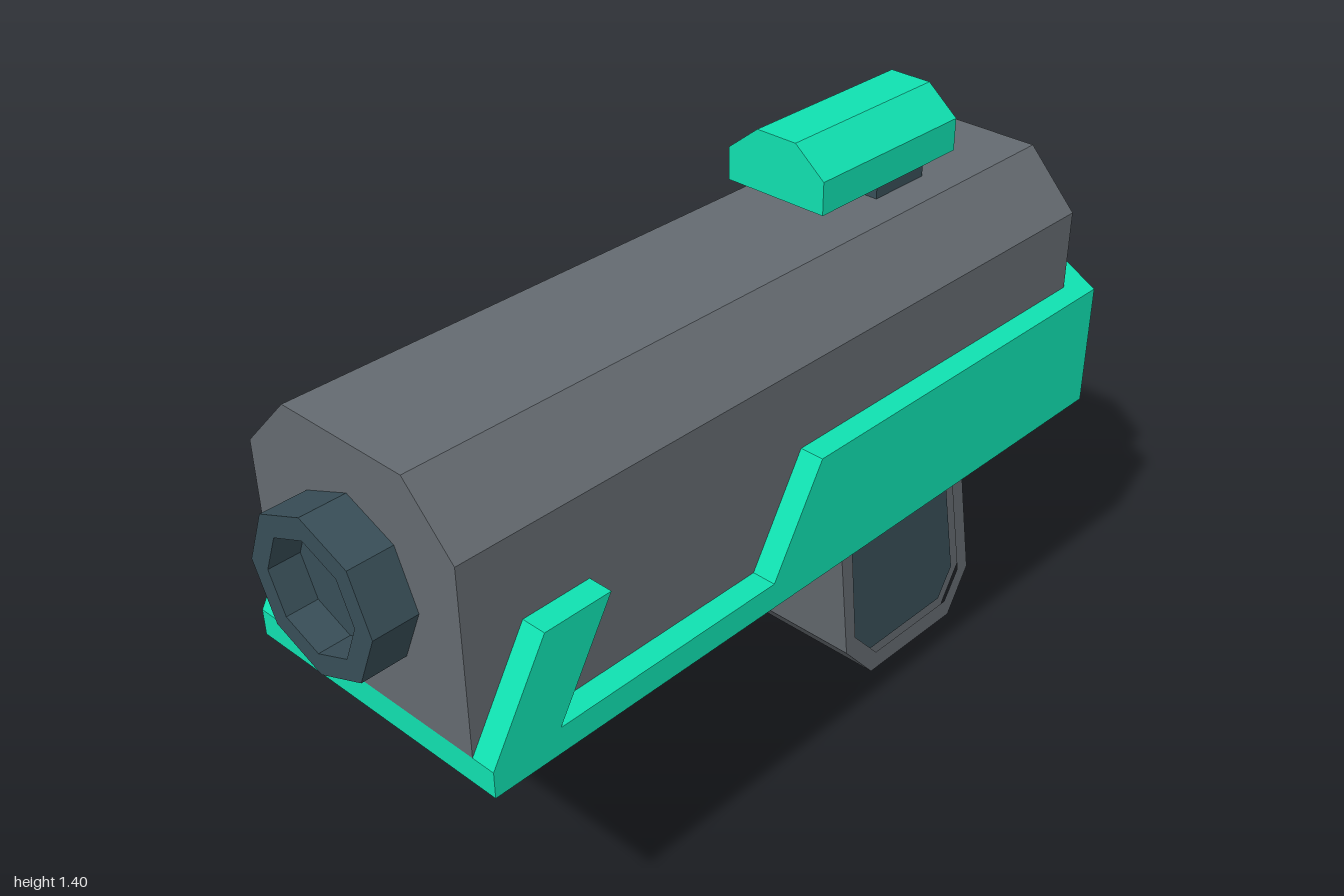
import * as THREE from 'three';

const mat = (color) => new THREE.MeshStandardMaterial({ color, flatShading: true });
const green = mat(0x10e0b0);
const grey = mat(0x646a70);
const slate = mat(0x384e57);

const toShape = (pts) => new THREE.Shape(pts.map(([x, y]) => new THREE.Vector2(x, y)));
const extrude = (shape, depth) =>
  new THREE.ExtrudeGeometry(shape, { depth, bevelEnabled: false, curveSegments: 1 });

function add(parent, name, geometry, material) {
  const mesh = new THREE.Mesh(geometry, material);
  mesh.name = name;
  parent.add(mesh);
  return mesh;
}

// Outline in (x, y), running from z0 to z1
const alongZ = (shape, z0, z1) => extrude(shape, z1 - z0).translate(0, 0, z0);
// Outline in (z, y), running from x0 to x1
const alongX = (shape, x0, x1) => extrude(shape, x1 - x0).rotateY(-Math.PI / 2).translate(x1, 0, 0);
// Box given by its limits
const box = (x, y0, y1, z0, z1) =>
  new THREE.BoxGeometry(2 * x, y1 - y0, z1 - z0).translate(0, (y0 + y1) / 2, (z0 + z1) / 2);

// Octagon with corners on the axes
const octagon = (r, cy) => Array.from({ length: 8 }, (_, i) => {
  const a = (i * Math.PI) / 4;
  return [r * Math.cos(a), cy + r * Math.sin(a)];
});

export function createModel() {
  const model = new THREE.Group();
  model.name = 'blaster';

  // Body with chamfered top
  add(model, 'body', alongZ(toShape([
    [-0.28, 0.67], [0.28, 0.67], [0.28, 1.085], [0.16, 1.21], [-0.16, 1.21], [-0.28, 1.085],
  ]), -0.88, 0.9), grey);

  // Hollow muzzle and its recessed floor
  const ring = toShape(octagon(0.17, 0.93));
  ring.holes.push(toShape(octagon(0.122, 0.93)));
  add(model, 'muzzle', alongZ(ring, 0.9, 1), slate);
  add(model, 'muzzleFloor', alongZ(toShape(octagon(0.122, 0.93)), 0.9, 0.93), slate);

  // Lower cradle: plate, notched side rails and rear cap
  const cradle = new THREE.Group();
  cradle.name = 'cradle';
  model.add(cradle);
  add(cradle, 'basePlate', box(0.28, 0.61, 0.67, -0.92, 0.9), green);
  const rail = toShape([
    [0.9, 0.61], [0.9, 0.67], [0.765, 0.9], [0.605, 0.9], [0.74, 0.67],
    [0.165, 0.67], [0.03, 0.9], [-0.92, 0.9], [-0.92, 0.61],
  ]);
  add(cradle, 'leftRail', alongX(rail, 0.28, 0.335), green);
  add(cradle, 'rightRail', alongX(rail, -0.335, -0.28), green);
  const cap = toShape([
    [-0.28, 0.88], [0.28, 0.88], [0.28, 0.92], [0.335, 0.92],
    [0.2, 1], [-0.2, 1], [-0.335, 0.92], [-0.28, 0.92],
  ]);
  add(cradle, 'rearCap', extrude(cap, 0.23).rotateX(-Math.PI / 2).translate(0, 0.67, 0), green);

  // Grip: core, rimmed cheeks and inset panels
  const grip = new THREE.Group();
  grip.name = 'grip';
  model.add(grip);
  const outline = [
    [-0.245, 0.61], [-0.305, 0.115], [-0.405, 0], [-0.71, 0], [-0.775, 0.115], [-0.68, 0.61],
  ];
  const inset = [
    [-0.29, 0.56], [-0.335, 0.145], [-0.42, 0.05], [-0.69, 0.05], [-0.735, 0.125], [-0.65, 0.56],
  ];
  const rim = toShape(outline);
  rim.holes.push(toShape(inset));
  add(grip, 'gripCore', alongX(toShape(outline), -0.135, 0.135), grey);
  for (const [side, s] of [['left', 1], ['right', -1]]) {
    const span = (a, b) => (s > 0 ? [a, b] : [-b, -a]);
    add(grip, side + 'GripRim', alongX(rim, ...span(0.135, 0.162)), grey);
    add(grip, side + 'GripPanel', alongX(toShape(inset), ...span(0.13, 0.143)), slate);
  }

  // Trigger wedge
  add(model, 'trigger', alongX(toShape([
    [-0.09, 0.61], [-0.097, 0.56], [-0.275, 0.365], [-0.3, 0.365], [-0.3, 0.61],
  ]), -0.053, 0.053), slate);

  // Top sight on a short post
  add(model, 'sightPost', box(0.08, 1.21, 1.268, -0.585, -0.43), slate);
  add(model, 'sight', alongZ(toShape([
    [-0.125, 1.268], [0.125, 1.268], [0.125, 1.34], [0.05, 1.4], [-0.05, 1.4], [-0.125, 1.34],
  ]), -0.63, -0.2), green);

  return model;
}
